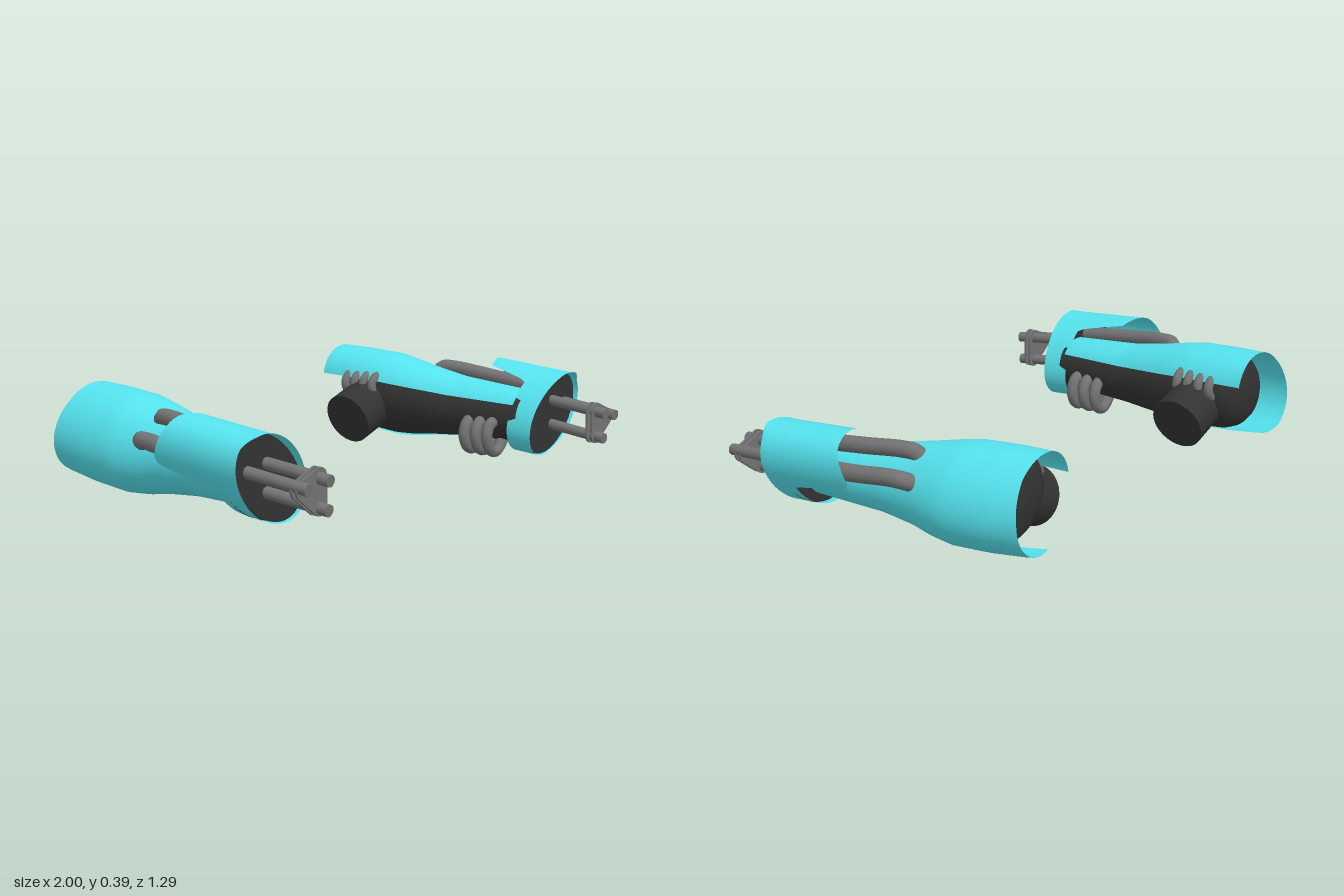
import * as THREE from 'three';

const V = (x, y, z) => new THREE.Vector3(x, y, z);
const rad = THREE.MathUtils.degToRad;
const mat = (color) => new THREE.MeshStandardMaterial({ color, side: THREE.DoubleSide });
const cyan = mat(0x55e3ee), dark = mat(0x333333), grey = mat(0x737373);

function add(group, name, geometry, material) {
  const mesh = new THREE.Mesh(geometry, material);
  mesh.name = name;
  group.add(mesh);
}

// Piecewise linear lookup in rows of [key, ...values]
function lookup(rows, k) {
  let i = 0;
  while (i < rows.length - 2 && k > rows[i + 1][0]) i++;
  const a = rows[i], b = rows[i + 1];
  const t = THREE.MathUtils.clamp((k - a[0]) / (b[0] - a[0]), 0, 1);
  return a.slice(1).map((v, j) => v + (b[j + 1] - v) * t);
}

// Indexed grid: u runs counter-clockwise round the axis, v from back to front
function surface(nu, nv, point) {
  const pos = [], index = [];
  for (let j = 0; j <= nv; j++) {
    for (let i = 0; i <= nu; i++) pos.push(...point(i / nu, j / nv));
  }
  for (let j = 0; j < nv; j++) {
    for (let i = 0; i < nu; i++) {
      const a = j * (nu + 1) + i, b = a + 1, c = a + nu + 1, d = c + 1;
      index.push(a, b, d, a, d, c);
    }
  }
  const g = new THREE.BufferGeometry();
  g.setAttribute('position', new THREE.Float32BufferAttribute(pos, 3));
  g.setIndex(index);
  g.computeVertexNormals();
  return g;
}

// Point at a polar angle on an oval with half axes a, b, the first turned by tilt
function ovalPoint(x, y, z, a, b, tilt, degrees) {
  const t = rad(degrees), s = rad(degrees - tilt);
  const r = 1 / Math.hypot(Math.cos(s) / a, Math.sin(s) / b);
  return [x + r * Math.cos(t), y + r * Math.sin(t), z];
}

const tube = (points, r, n = 24) =>
  new THREE.TubeGeometry(new THREE.CatmullRomCurve3(points), n, r, 12);

function rod(a, b, r, sides = 24) {
  const dir = b.clone().sub(a);
  const g = new THREE.CylinderGeometry(r, r, dir.length(), sides);
  g.applyQuaternion(new THREE.Quaternion().setFromUnitVectors(V(0, 1, 0), dir.normalize()));
  const m = a.clone().add(b).multiplyScalar(0.5);
  return g.translate(m.x, m.y, m.z);
}

// Limb rows: z, centre x, centre y, radius, ovalness
const LIMB = [
  [-0.65, 0.725, 0.222, 0.163, 0.09], [-0.62, 0.725, 0.22, 0.167, 0.09],
  [-0.48, 0.73, 0.208, 0.175, 0.08], [-0.33, 0.735, 0.196, 0.177, 0.06],
  [-0.24, 0.735, 0.189, 0.165, 0.05], [-0.15, 0.735, 0.185, 0.148, 0.03],
  [0, 0.745, 0.176, 0.126, 0], [0.32, 0.767, 0.163, 0.108, 0],
];
function limbPoint(z, degrees, scale = 1) {
  const [x, y, r, k] = lookup(LIMB, z);
  return ovalPoint(x, y, z, r * scale * (1 + k), r * scale * (1 - k), -45, degrees);
}

function buildArm() {
  const arm = new THREE.Group();

  // Dark inner limb with a domed rear end
  const DOME = [[-0.56, 0.01], [-0.555, 0.4], [-0.54, 0.7], [-0.51, 0.87], [-0.46, 0.95], [0.32, 0.95]];
  add(arm, 'innerLimb', surface(48, 40, (u, v) => {
    const z = -0.56 + 0.88 * v ** 1.6;
    return limbPoint(z, u * 360, lookup(DOME, z)[0]);
  }), dark);

  // Forearm shell, open along the inner underside and longer at the outer rear
  const BACK = [[-95, -0.635], [-60, -0.648], [-10, -0.64], [50, -0.615], [160, -0.605]];
  add(arm, 'forearmShell', surface(56, 30, (u, v) => {
    const start = -95 + 20 * v, end = 160 - 12 * v;
    const angle = start + (end - start) * u;
    const back = lookup(BACK, angle)[0];
    return limbPoint(back + (0.3 - back) * v, angle);
  }), cyan);

  // Front cuff: a slanted oval band whose upper outer side reaches back over the pipes
  const REAR_EDGE = [[-90, 0.275], [-20, 0.27], [-5, 0.012], [5, 0], [20, 0.02], [40, 0.05],
    [70, 0.075], [96, 0.1], [113, 0.27], [120, 0.295], [270, 0.275]];
  const FRONT_EDGE = [[-90, 0.378], [0, 0.392], [38, 0.4], [58, 0.43], [100, 0.425],
    [150, 0.41], [180, 0.4], [270, 0.378]];
  const CUFF = [[0, 0.822, 0.213], [0.4, 0.829, 0.179]];
  add(arm, 'cuff', surface(120, 10, (u, v) => {
    const angle = -90 + u * 360;
    const back = lookup(REAR_EDGE, angle)[0], front = lookup(FRONT_EDGE, angle)[0];
    const z = back + (front - back) * v;
    return ovalPoint(...lookup(CUFF, z), z, 0.195, 0.132, 42, angle);
  }), cyan);

  // Dark oval plug closing the cuff
  const plug = new THREE.CylinderGeometry(1, 1, 0.07, 48).rotateX(Math.PI / 2);
  plug.scale(0.19, 0.127, 1).rotateZ(rad(42)).translate(0.829, 0.181, 0.343);
  add(arm, 'muzzlePlug', plug, dark);

  // Three slim barrels and their two triangular brackets
  const barrels = [[0.91, 0.188, 0.63], [0.82, 0.205, 0.643], [0.82, 0.107, 0.637]];
  barrels.forEach(([x, y, z]) => {
    add(arm, 'barrel', rod(V(x + 0.018, y + 0.029, 0.35), V(x, y, z), 0.021), grey);
  });
  const shape = new THREE.Shape();
  [[0.9, 0.18, -60], [0.822, 0.212, 60], [0.822, 0.118, 180]].forEach(([x, y, a]) => {
    shape.absarc(x, y, 0.034, rad(a), rad(a + 120), false);
  });
  [0.57, 0.592].forEach((z) => {
    const g = new THREE.ExtrudeGeometry(shape, { depth: 0.008, bevelEnabled: false, curveSegments: 8 });
    add(arm, 'barrelBracket', g.translate(0, 0, z), grey);
  });

  // Two feed pipes bending from the cuff into the forearm
  add(arm, 'upperFeedPipe', tube([V(0.835, 0.275, 0.3), V(0.828, 0.306, 0.05), V(0.812, 0.322, -0.1),
    V(0.803, 0.318, -0.15), V(0.785, 0.285, -0.165), V(0.77, 0.24, -0.165)], 0.03, 40), grey);
  add(arm, 'lowerFeedPipe', tube([V(0.905, 0.21, 0.3), V(0.912, 0.232, 0.05), V(0.903, 0.25, -0.11),
    V(0.895, 0.25, -0.16), V(0.865, 0.235, -0.18), V(0.81, 0.21, -0.182)], 0.031, 40), grey);

  // Elbow joint cylinder pointing inward and down
  add(arm, 'elbowJoint', rod(V(0.467, 0.115, -0.39), V(0.7, 0.203, -0.39), 0.108, 40), dark);

  // Four small hoses tucked under the shell edge above the elbow joint
  for (let i = 0; i < 4; i++) {
    const z = -0.475 + i * 0.048;
    add(arm, 'elbowHose', tube([V(0.63, 0.29, z), V(0.58, 0.287, z), V(0.556, 0.268, z),
      V(0.553, 0.24, z), V(0.575, 0.215, z), V(0.62, 0.2, z)], 0.018), grey);
  }

  // Three hose loops under the wrist
  for (let i = 0; i < 3; i++) {
    const z = 0.105 + i * 0.056;
    add(arm, 'wristHose', tube([V(0.69, 0.15, z), V(0.635, 0.138, z), V(0.615, 0.09, z),
      V(0.635, 0.04, z), V(0.68, 0.024, z), V(0.74, 0.08, z)], 0.023), grey);
  }
  return arm;
}

// Mirrored copy with corner order reversed
function mirrorArm(source) {
  const arm = new THREE.Group();
  source.children.forEach((m) => {
    const g = m.geometry.clone();
    const n = g.attributes.position.count;
    const idx = g.index ? Array.from(g.index.array) : Array.from({ length: n }, (_, i) => i);
    for (let i = 0; i < idx.length; i += 3) [idx[i], idx[i + 1]] = [idx[i + 1], idx[i]];
    g.setIndex(idx);
    for (const key of ['position', 'normal']) {
      const a = g.attributes[key];
      for (let i = 0; i < n; i++) a.setX(i, -a.getX(i));
    }
    add(arm, m.name, g, m.material);
  });
  return arm;
}

export function createModel() {
  const model = new THREE.Group();
  model.name = 'armCannons';
  const left = buildArm();
  left.name = 'leftArm';
  const right = mirrorArm(left);
  right.name = 'rightArm';
  model.add(left, right);
  return model;
}
